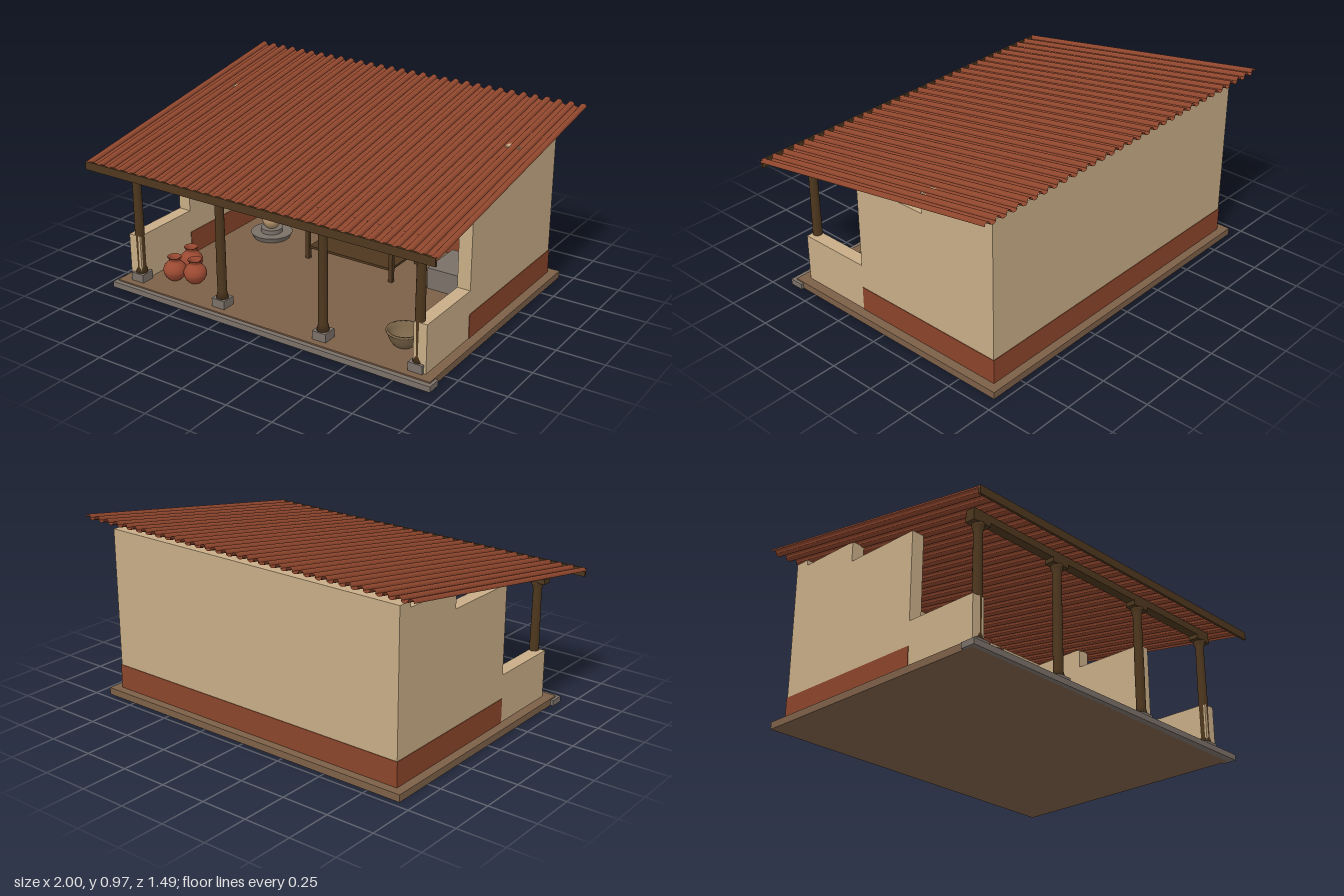
import * as THREE from 'three';

const mat = (name, color, double) => {
  const m = new THREE.MeshStandardMaterial({ color });
  m.name = name;
  if (double) m.side = THREE.DoubleSide;
  return m;
};

export function createModel() {
  const plaster = mat('plaster', 0xc8ad86);
  const redBand = mat('red ochre', 0x8b452b);
  const tile = mat('roof tile', 0x8f462d, true);
  const wood = mat('dark wood', 0x4e371e);
  const terracotta = mat('terracotta', 0x9c4a32, true);
  const stone = mat('stone', 0x7a7068, true);
  const earth = mat('earth floor', 0x7d6048);
  const wetClay = mat('wet clay', 0xb4936c, true);
  const basinClay = mat('basin clay', 0x7a6548, true);

  const root = new THREE.Group();
  root.name = 'potteryWorkshop';
  const group = (name) => {
    const g = new THREE.Group();
    g.name = name;
    root.add(g);
    return g;
  };
  const add = (parent, name, geo, material, x = 0, y = 0, z = 0) => {
    const m = new THREE.Mesh(geo, material);
    m.name = name;
    m.position.set(x, y, z);
    parent.add(m);
    return m;
  };
  // Box given by its limits on each axis
  const box = (parent, name, material, x0, x1, y0, y1, z0, z1) =>
    add(parent, name, new THREE.BoxGeometry(x1 - x0, y1 - y0, z1 - z0), material,
      (x0 + x1) / 2, (y0 + y1) / 2, (z0 + z1) / 2);
  // Turned vessel: profile in fractions of radius and height
  const turned = (parent, name, profile, material, x, y, z, r, h) =>
    add(parent, name, new THREE.LatheGeometry(
      profile.map(([a, b]) => new THREE.Vector2(a * r, b * h)), 20), material, x, y, z);

  const jarProfile = [[0, 0], [0.5, 0], [0.8, 0.14], [0.97, 0.32], [1, 0.44], [0.9, 0.6], [0.66, 0.73],
    [0.46, 0.8], [0.46, 0.88], [0.62, 0.98], [0.6, 1], [0.5, 0.98], [0.4, 0.86], [0.4, 0.7]];
  const bowlProfile = [[0, 0], [0.55, 0], [0.78, 0.35], [0.92, 0.75], [0.95, 0.88], [1, 0.9], [1, 1],
    [0.88, 1], [0.82, 0.75], [0.6, 0.3], [0, 0.15]];

  // Ground slab and front step
  const base = group('base');
  box(base, 'floorSlab', earth, -0.93, 0.93, 0, 0.037, -0.717, 0.64);
  box(base, 'frontStep', stone, -0.945, 0.945, 0, 0.03, 0.59, 0.665);

  // Stepped side walls, back wall and painted bands
  const walls = group('walls');
  const side = new THREE.Shape([
    [0.59, 0.037], [0.59, 0.29], [0.19, 0.29], [0.19, 0.757], [-0.24, 0.757],
    [-0.24, 0.866], [-0.6, 0.866], [-0.6, 0.037],
  ].map(([z, y]) => new THREE.Vector2(z, y)));
  const sideGeo = new THREE.ExtrudeGeometry(side, { depth: 0.07, bevelEnabled: false });
  sideGeo.rotateY(-Math.PI / 2);
  add(walls, 'leftWall', sideGeo, plaster, 0.88);
  add(walls, 'rightWall', sideGeo, plaster, -0.81);
  box(walls, 'backWall', plaster, -0.88, 0.88, 0.037, 0.897, -0.67, -0.59);
  const t = 0.003;
  for (const s of [-1, 1]) {
    for (const x of [s * 0.88, s * 0.81]) {
      box(walls, 'sideBand', redBand, x - t, x + t, 0.037, 0.165, -0.67 - t, 0.19);
    }
  }
  for (const z of [-0.67, -0.59]) {
    const w = z < -0.6 ? 0.88 : 0.81;
    box(walls, 'backBand', redBand, -w, w, 0.037, 0.165, z - t, z + t);
  }

  // Sloping roof of cover tiles and channel tiles
  const roof = group('roof');
  roof.position.set(0, 0.826, 0);
  roof.rotation.x = Math.atan(0.1717);
  const len = 1.505, count = 31, step = 1.97 / (count - 1);
  const coverGeo = new THREE.CylinderGeometry(0.0165, 0.0165, len, 10, 1, true, Math.PI / 2, Math.PI);
  const panGeo = new THREE.CylinderGeometry(0.0233, 0.0233, len, 6, 1, true, -0.883, 1.766);
  coverGeo.rotateX(Math.PI / 2);
  panGeo.rotateX(Math.PI / 2);
  for (let i = 0; i < count; i++) {
    const x = -0.985 + i * step;
    add(roof, 'coverTile', coverGeo, tile, x);
    if (i < count - 1) add(roof, 'channelTile', panGeo, tile, x + step / 2, 0.0148);
  }

  // Eave board, beam and porch posts
  const porch = group('porch');
  box(porch, 'eaveBoard', wood, -0.998, 0.998, 0.67, 0.713, 0.734, 0.746);
  box(porch, 'beam', wood, -0.88, 0.88, 0.678, 0.717, 0.543, 0.591);
  const postProfile = [[0, 0.08], [0.032, 0.08], [0.024, 0.115], [0.0245, 0.3], [0.022, 0.62],
    [0.031, 0.645], [0.031, 0.66], [0, 0.66]].map(([r, y]) => new THREE.Vector2(r, y));
  for (const x of [-0.83, -0.303, 0.303, 0.83]) {
    box(porch, 'postFooting', stone, x - 0.038, x + 0.038, 0.03, 0.082, 0.529, 0.605);
    add(porch, 'post', new THREE.LatheGeometry(postProfile, 16), wood, x, 0, 0.567);
    box(porch, 'postBracket', wood, x - 0.053, x + 0.053, 0.655, 0.68, 0.54, 0.594);
  }

  // Wall shelves filled with jars
  const shelves = group('shelves');
  for (const s of [-1, 1]) {
    box(shelves, 'shelfUpright', wood, s * 0.39 - 0.008, s * 0.39 + 0.008, 0.32, 0.57, -0.59, -0.47);
  }
  const rows = [
    [0.353, [[0.04, 0.09], [0.036, 0.08], [0.035, 0.076], [0.028, 0.062], [0.031, 0.066], [0.04, 0.086]]],
    [0.538, [[0.042, 0.1], [0.04, 0.096], [0.046, 0.105], [0.027, 0.065], [0.035, 0.085], [0.035, 0.08]]],
  ];
  for (const [y, jars] of rows) {
    box(shelves, 'shelfBoard', wood, -0.4, 0.4, y - 0.013, y, -0.59, -0.47);
    jars.forEach(([r, h], i) =>
      turned(shelves, 'shelfJar', jarProfile, terracotta, -0.335 + i * 0.132, y, -0.53, r, h));
  }

  // Work table with lower shelf and bowls
  const table = group('workTable');
  box(table, 'tableTop', wood, -0.28, 0.28, 0.245, 0.265, -0.4, -0.1);
  box(table, 'lowerShelf', wood, -0.255, 0.255, 0.095, 0.108, -0.38, -0.12);
  for (const x of [-0.26, 0.26]) {
    for (const z of [-0.38, -0.12]) {
      box(table, 'tableLeg', wood, x - 0.011, x + 0.011, 0.037, 0.245, z - 0.011, z + 0.011);
    }
  }
  turned(table, 'stoneBowl', bowlProfile, stone, -0.155, 0.265, -0.25, 0.07, 0.042);
  turned(table, 'clayBowl', bowlProfile, basinClay, 0.135, 0.265, -0.25, 0.07, 0.038);
  box(table, 'paddle', wood, -0.07, 0.02, 0.265, 0.275, -0.26, -0.23);
  box(table, 'smoothingStone', stone, 0.02, 0.06, 0.265, 0.288, -0.25, -0.21);

  // Turning wheel with a fresh pot
  const wheel = group('pottersWheel');
  add(wheel, 'wheelDisc', new THREE.CylinderGeometry(0.115, 0.1, 0.03, 28), stone, -0.59, 0.052, -0.24);
  add(wheel, 'wheelHead', new THREE.CylinderGeometry(0.06, 0.06, 0.025, 24), stone, -0.59, 0.079, -0.24);
  turned(wheel, 'freshPot', jarProfile, wetClay, -0.59, 0.09, -0.24, 0.052, 0.11);

  // Floor jars, wash basin and stone block
  const goods = group('floorGoods');
  for (const [x, z] of [[-0.69, 0.47], [-0.58, 0.44], [-0.695, 0.33]]) {
    turned(goods, 'floorJar', jarProfile, terracotta, x, 0.037, z, 0.061, 0.128);
  }
  turned(goods, 'basin', bowlProfile, basinClay, 0.655, 0.037, 0.405, 0.09, 0.08);
  box(goods, 'stoneBlock', stone, 0.45, 0.75, 0.037, 0.152, -0.42, -0.16);

  return root;
}
